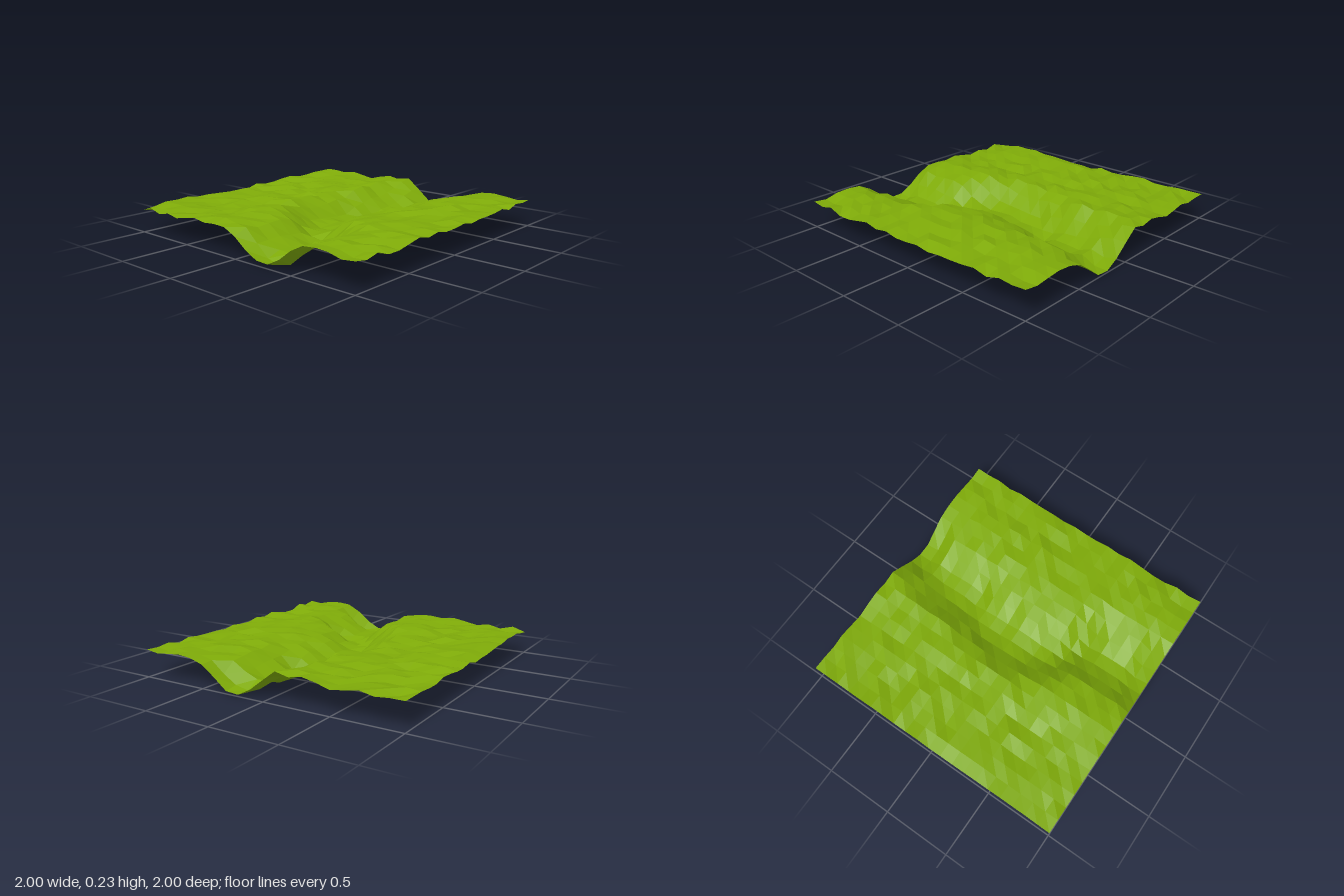
import * as THREE from 'three';

const CELLS = 20;

// Per grid column, from x = -1 to x = 1: valley centre line (z) and floor height
const centre = [0.26, 0.3, 0.26, 0.25, 0.26, 0.27, 0.19, 0.08, 0.04, 0.01, 0,
  0.01, 0.02, 0.05, 0.1, 0.1, 0.11, 0.13, 0.16, 0.21, 0.23];
const floor = [0.025, 0, 0.05, 0.05, 0.045, 0.01, 0.03, 0.055, 0.04, 0.05, 0.055,
  0.028, 0.025, 0.02, 0, 0.04, 0.035, 0.025, 0.06, 0.012, 0.008];

// Valley cross-section: distance from the centre line -> rise from floor (0) to bank (1)
const valley = [[0, 0], [0.05, 0.03], [0.1, 0.13], [0.2, 0.56], [0.3, 0.97], [0.36, 1], [3, 1]];

// Bank height along z, with a crest on each side of the valley
const bank = [[-1.1, 0.18], [-0.5, 0.182], [-0.35, 0.193], [-0.2, 0.212], [-0.05, 0.2],
  [0.3, 0.182], [0.5, 0.192], [0.7, 0.209], [0.82, 0.193], [1.1, 0.179]];

// Straight-line interpolation through a list of [position, value] points
function sample(points, t) {
  const i = points.findIndex(([p]) => p > t);
  const [p0, v0] = points[i - 1];
  const [p1, v1] = points[i];
  return v0 + (v1 - v0) * (t - p0) / (p1 - p0);
}

// Repeatable bumpiness in -1..1 for a grid point
function bump(i, j) {
  const s = Math.sin(i * 127.1 + j * 311.7) * 43758.5453;
  return (s - Math.floor(s)) * 2 - 1;
}

export function createModel() {
  const group = new THREE.Group();
  group.name = 'terrain';

  // Square grid lying flat, turned so that the cell diagonals run from back left to front right
  const grid = new THREE.PlaneGeometry(2, 2, CELLS, CELLS);
  grid.rotateX(-Math.PI / 2).rotateY(Math.PI / 2);

  // Raise each point: valley cut into the banks, plus bumps that fade out at the very bottom
  const pos = grid.attributes.position;
  for (let k = 0; k < pos.count; k++) {
    const x = pos.getX(k), z = pos.getZ(k);
    const i = Math.round((x + 1) * CELLS / 2);
    const j = Math.round((z + 1) * CELLS / 2);
    const r = sample(valley, Math.abs(z - centre[i]));
    const y = floor[i] + (sample(bank, z) - floor[i]) * r + 0.019 * bump(i, j) * Math.min(r * 2, 1);
    pos.setY(k, Math.max(y, floor[i]));
  }

  const geometry = grid.toNonIndexed();
  geometry.computeVertexNormals();
  const ground = new THREE.Mesh(geometry, new THREE.MeshStandardMaterial({
    color: 0x7eaa08, flatShading: true, side: THREE.DoubleSide,
  }));
  ground.name = 'valleyGround';
  group.add(ground);
  return group;
}
